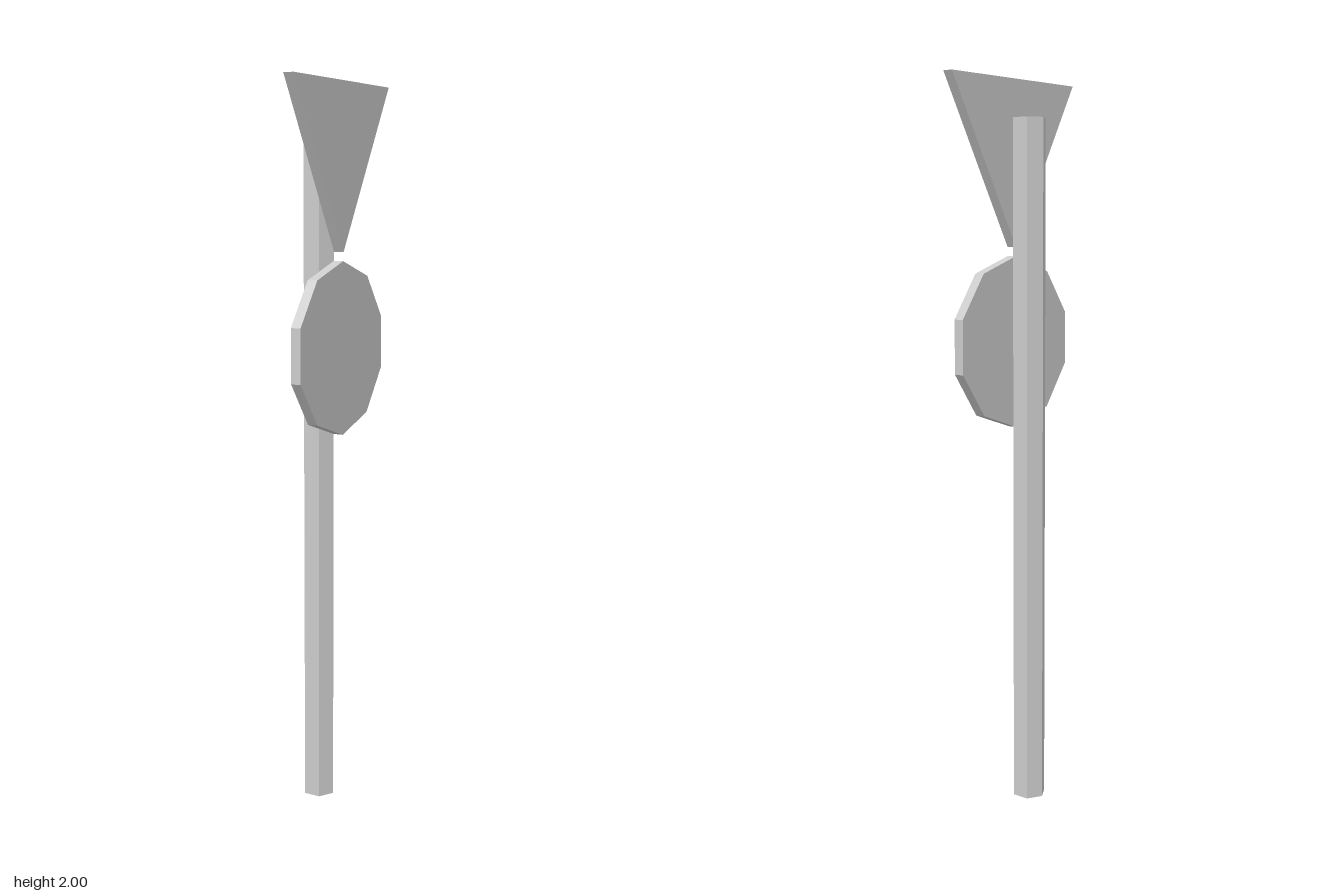
import * as THREE from 'three';

export function createModel() {
  const group = new THREE.Group();
  const material = new THREE.MeshStandardMaterial({ color: 0xcccccc, flatShading: true });

  const add = (name, geometry, x, y, z) => {
    const mesh = new THREE.Mesh(geometry, material);
    mesh.name = name;
    mesh.position.set(x, y, z);
    group.add(mesh);
  };

  // Flat polygonal plate facing +x, first corner pointing up (1) or down (-1)
  const plate = (radius, sides, up) =>
    new THREE.CylinderGeometry(radius, radius, 0.029, sides, 1, false, up * Math.PI / 2)
      .rotateZ(Math.PI / 2);

  // Hexagonal pole with corners along x
  const poleHeight = 1.895;
  add('pole', new THREE.CylinderGeometry(0.047, 0.047, poleHeight, 6, 1, false, Math.PI / 2),
    -0.017, poleHeight / 2, -0.006);

  // Sign plates on the pole's left side
  add('triangleSign', plate(0.297, 3, -1), 0.048, 1.8515, -0.001);
  add('roundSign', plate(0.236, 10, 1), 0.048, 1.295, 0.001);

  return group;
}
